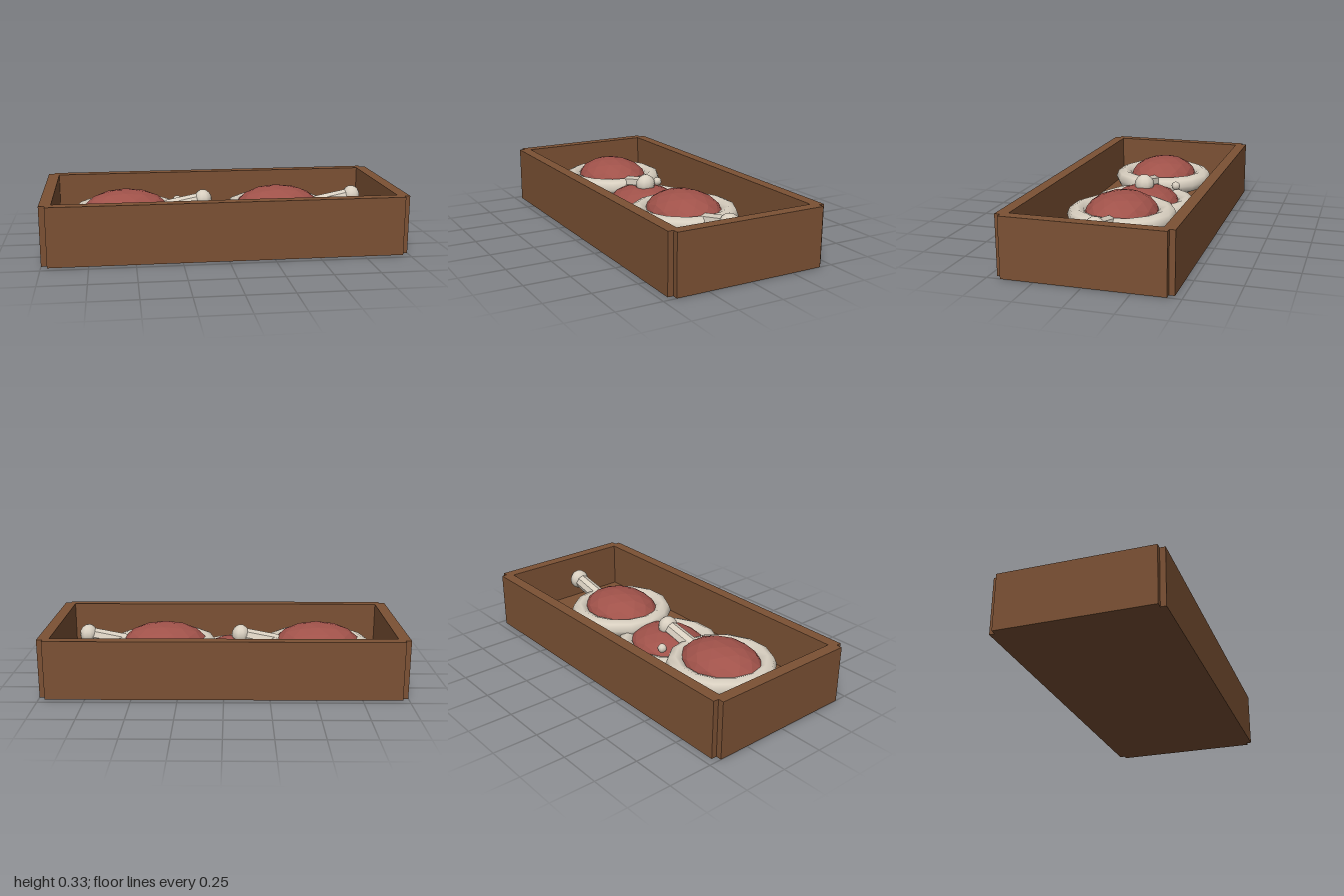
import * as THREE from 'three';

const wood = new THREE.MeshStandardMaterial({ color: 0x7b5134 });
wood.name = 'wood';
const meat = new THREE.MeshStandardMaterial({ color: 0xa0524a });
meat.name = 'meat';
const bone = new THREE.MeshStandardMaterial({ color: 0xd8cfc0 });
bone.name = 'bone';

function add(parent, name, geometry, material, x = 0, y = 0, z = 0) {
  const mesh = new THREE.Mesh(geometry, material);
  mesh.name = name;
  mesh.position.set(x, y, z);
  parent.add(mesh);
  return mesh;
}

// Faceted joint of meat with a pale rim and an optional shank bone
function createJoint(name, x, y, halfHeight, withBone) {
  const joint = new THREE.Group();
  joint.name = name;
  joint.position.set(x, y, 0);

  // Icosahedron faces are unshared, so computed normals stay flat
  const body = new THREE.IcosahedronGeometry(1, 2).scale(0.252, halfHeight, 0.205);
  body.computeVertexNormals();
  add(joint, 'meatBody', body, meat);

  const rim = new THREE.TorusGeometry(0.25, 0.053, 8, 14).rotateX(Math.PI / 2);
  add(joint, 'fatRim', rim, bone);

  if (withBone) {
    const start = new THREE.Vector3(0.16, 0, 0);
    const end = new THREE.Vector3(0.445, 0.06, 0);
    const direction = end.clone().sub(start);
    const shaft = new THREE.CylinderGeometry(0.043, 0.047, direction.length(), 8).toNonIndexed();
    shaft.computeVertexNormals();
    const shank = add(joint, 'shankBone', shaft, bone);
    shank.position.copy(start).add(end).multiplyScalar(0.5);
    shank.quaternion.setFromUnitVectors(new THREE.Vector3(0, 1, 0), direction.normalize());
    const knob = add(joint, 'boneKnob', new THREE.SphereGeometry(0.058, 10, 8), bone);
    knob.position.copy(end);
    knob.scale.x = 0.9;
  }
  return joint;
}

export function createModel() {
  const model = new THREE.Group();
  model.name = 'meatCrate';

  // Crate with notched corners
  const height = 0.326;
  const crate = new THREE.Group();
  crate.name = 'crate';
  model.add(crate);
  add(crate, 'floor', new THREE.BoxGeometry(1.93, 0.06, 0.855), wood, 0, 0.03, 0);
  for (const side of [1, -1]) {
    add(crate, side > 0 ? 'frontWall' : 'backWall',
      new THREE.BoxGeometry(1.934, height, 0.064), wood, 0, height / 2, side * 0.426);
    add(crate, side > 0 ? 'leftWall' : 'rightWall',
      new THREE.BoxGeometry(0.064, height, 0.855), wood, side * 0.968, height / 2, 0);
  }

  // Two raised joints overlapping a lower one in the middle
  model.add(createJoint('rightJoint', -0.54, 0.18, 0.13, true));
  model.add(createJoint('middleJoint', -0.1, 0.118, 0.112, false));
  model.add(createJoint('leftJoint', 0.345, 0.18, 0.13, true));

  // Small bone end showing between the joints
  add(model, 'smallBoneEnd', new THREE.SphereGeometry(0.026, 8, 6), bone, -0.233, 0.205, -0.158);

  return model;
}
